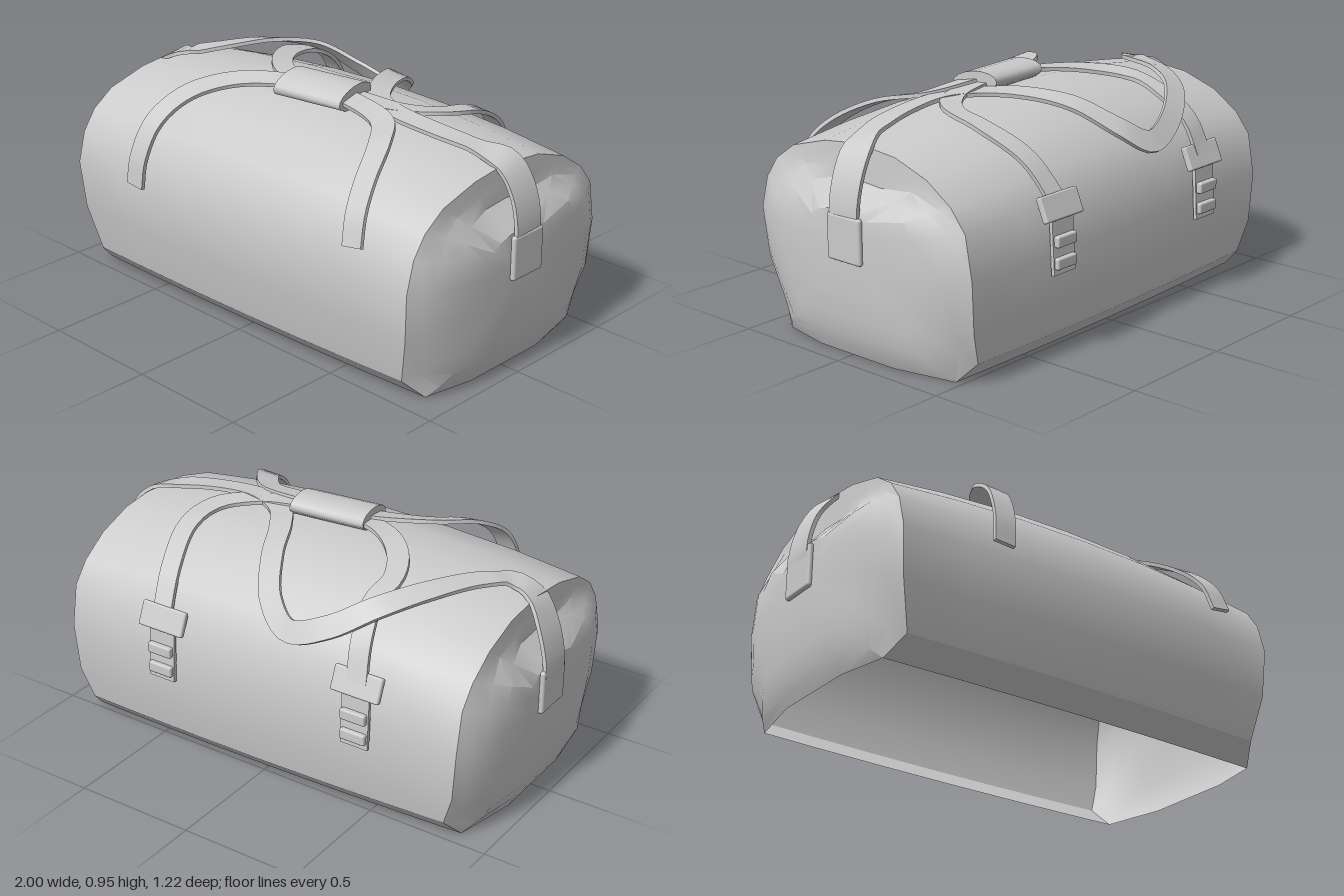
import * as THREE from 'three';
import { toCreasedNormals } from 'three/addons/utils/BufferGeometryUtils.js';
import { RoundedBoxGeometry } from 'three/addons/geometries/RoundedBoxGeometry.js';

const material = new THREE.MeshStandardMaterial({ color: 0xcccccc });
const openMaterial = new THREE.MeshStandardMaterial({ color: 0xcccccc, side: THREE.DoubleSide });

// Joins equal rings of points into a skin; keep(j, i) can leave quads open.
function loft(rings, crease, capEnds, keep = () => true) {
  const n = rings[0].length, pos = [], index = [];
  rings.forEach(r => r.forEach(p => pos.push(...p)));
  for (let j = 0; j < rings.length - 1; j++) {
    for (let i = 0; i < n; i++) {
      const a = j * n + i, b = j * n + (i + 1) % n;
      if (keep(j, i)) index.push(a, a + n, b, b, a + n, b + n);
    }
  }
  if (capEnds) {
    const e = (rings.length - 1) * n;
    for (let i = 1; i < n - 1; i++) index.push(0, i, i + 1, e, e + i + 1, e + i);
  }
  const g = new THREE.BufferGeometry();
  g.setAttribute('position', new THREE.Float32BufferAttribute(pos, 3));
  g.setIndex(index);
  return toCreasedNormals(g, crease);
}

function add(parent, name, geometry, mat = material) {
  const mesh = new THREE.Mesh(geometry, mat);
  mesh.name = name;
  parent.add(mesh);
  return mesh;
}

// Cross-section of the bag as [z, y], from the front bottom edge over the top to the back;
// the last two points lie on the bottom edge of the end panels
const section = [
  [0.42, 0.01], [0.5, 0.09], [0.54, 0.28], [0.555, 0.48], [0.52, 0.62], [0.46, 0.73],
  [0.36, 0.815], [0.18, 0.87], [0, 0.89], [-0.2, 0.87], [-0.36, 0.81], [-0.48, 0.71],
  [-0.55, 0.6], [-0.582, 0.42], [-0.575, 0.22], [-0.55, 0.09], [-0.47, 0.01],
  [-0.2, 0.01], [0.2, 0.01]
];

// Bag: long sagging shell, open underneath, with bulging end panels stepped in above y = 0.6
function bagGeometry() {
  const cy = 0.45;
  const place = (x, z, y) => {
    const t = Math.min(1, (x / 0.89) ** 2);
    const drop = 0.065 * t * THREE.MathUtils.smoothstep(y, 0.5, 0.89);
    return [x, y - drop, z * (1 - 0.04 * t) - 0.02 * x];
  };
  const edge = (z, y) => y < 0.05 ? 0.93 - 0.3 * z * z : y < 0.1 ? 0.83 : y < 0.3 ? 0.875 : 0.89;
  const endRing = (side, r) => section.map(([z, y]) => {
    const yy = cy + (y - cy) * r, e = edge(z, y);
    const lean = THREE.MathUtils.clamp((0.73 - yy) / 0.12, 0.08, 1);
    const x = e + (0.98 - e) * (1 - r ** 4) * lean;
    return place(side * x, z * r, yy);
  });
  const scales = [0, 0.36, 0.64, 0.8, 0.91, 1];
  const rings = scales.map(r => endRing(-1, r));
  for (const x of [-0.6, -0.3, 0, 0.3, 0.6]) rings.push(section.map(([z, y]) => place(x, z, y)));
  scales.reverse().forEach(r => rings.push(endRing(1, r)));
  const first = scales.length - 1, last = rings.length - scales.length;
  return loft(rings, 0.5, false, (j, i) => i < 16 || j < first || j >= last);
}

// Flat webbing along a smooth path, lying face-out from the bag
function strapGeometry(points, width, steps = 48, thick = 0.016) {
  const curve = new THREE.CatmullRomCurve3(points.map(p => new THREE.Vector3(...p)), false, 'centripetal');
  const rings = [];
  for (let k = 0; k <= steps; k++) {
    const p = curve.getPointAt(k / steps), t = curve.getTangentAt(k / steps);
    const out = new THREE.Vector3(Math.sign(p.x) * Math.max(0, Math.abs(p.x) - 0.75) * 6, p.y - 0.4, p.z);
    const side = new THREE.Vector3().crossVectors(t, out).normalize();
    const normal = new THREE.Vector3().crossVectors(side, t).normalize();
    const w = width(p) / 2;
    rings.push([[1, 1], [-1, 1], [-1, -1], [1, -1]].map(([a, b]) =>
      p.clone().addScaledVector(side, a * w).addScaledVector(normal, b * thick / 2).toArray()));
  }
  return loft(rings, 0.6, true);
}

export function createModel() {
  const bag = new THREE.Group();
  bag.name = 'duffelBag';
  add(bag, 'body', bagGeometry(), openMaterial);

  // Carry handles, both gathered in the grip
  add(bag, 'frontHandle', strapGeometry([
    [-0.48, 0.51, 0.595], [-0.47, 0.63, 0.58], [-0.45, 0.77, 0.51], [-0.41, 0.86, 0.37], [-0.31, 0.9, 0.21],
    [-0.12, 0.915, 0.1], [0.04, 0.92, 0.07], [0.2, 0.915, 0.08], [0.4, 0.895, 0.12], [0.51, 0.87, 0.25],
    [0.58, 0.79, 0.4], [0.62, 0.7, 0.49], [0.64, 0.59, 0.53]
  ], () => 0.09, 56));
  add(bag, 'backHandle', strapGeometry([
    [-0.48, 0.6, -0.57], [-0.46, 0.74, -0.51], [-0.43, 0.84, -0.39], [-0.43, 0.88, -0.25], [-0.35, 0.9, -0.1],
    [-0.2, 0.91, 0.02], [0.04, 0.915, 0.05], [0.2, 0.91, 0.03], [0.37, 0.9, -0.01], [0.49, 0.89, -0.12],
    [0.51, 0.86, -0.28], [0.46, 0.76, -0.46], [0.42, 0.6, -0.58]
  ], () => 0.085, 56));

  // Wrapped grip
  const gripGeometry = new THREE.CylinderGeometry(1, 1, 0.32, 16).rotateZ(Math.PI / 2).scale(1, 0.044, 0.105);
  const grip = add(bag, 'grip', toCreasedNormals(gripGeometry, 0.9));
  grip.position.set(0.035, 0.914, 0.065);
  grip.rotation.set(0.12, 0.13, 0);

  // Shoulder strap: end to end, drooping over the back
  add(bag, 'shoulderStrap', strapGeometry([
    [-0.98, 0.46, -0.01], [-0.99, 0.58, -0.01], [-0.95, 0.73, 0], [-0.88, 0.82, 0.03], [-0.79, 0.855, 0.03],
    [-0.7, 0.875, -0.07], [-0.59, 0.88, -0.27], [-0.47, 0.845, -0.43], [-0.32, 0.76, -0.52],
    [-0.16, 0.71, -0.55], [-0.04, 0.78, -0.49], [0.06, 0.87, -0.34], [0.15, 0.9, -0.16], [0.25, 0.9, -0.03],
    [0.4, 0.9, 0.03], [0.6, 0.885, 0.03], [0.78, 0.86, 0], [0.89, 0.825, -0.03],
    [0.955, 0.73, -0.04], [0.985, 0.6, -0.04], [0.975, 0.46, -0.04]
  ], p => 0.09 + 0.05 * THREE.MathUtils.smoothstep(Math.abs(p.x), 0.75, 0.93), 100));

  // End pads holding the shoulder strap
  for (const side of [-1, 1]) {
    const pad = add(bag, side > 0 ? 'leftEndPad' : 'rightEndPad', new RoundedBoxGeometry(0.024, 0.18, 0.17, 2, 0.011));
    pad.position.set(side * 0.985, 0.49, side > 0 ? -0.04 : -0.01);
  }

  // Back buckles with webbing and two ladder bars each
  for (const [x, z] of [[-0.48, 0], [0.415, -0.012]]) {
    const anchor = new THREE.Group();
    anchor.name = 'backBuckle';
    anchor.position.set(x, 0, z);
    bag.add(anchor);
    const buckle = add(anchor, 'buckle', new RoundedBoxGeometry(0.21, 0.1, 0.026, 2, 0.008));
    buckle.position.set(0, 0.595, -0.565);
    buckle.rotation.x = 0.4;
    const webbing = add(anchor, 'webbing', new THREE.BoxGeometry(0.12, 0.24, 0.014));
    webbing.position.set(0, 0.46, -0.577);
    webbing.rotation.x = 0.06;
    for (const y of [0.47, 0.385]) {
      add(anchor, 'ladderBar', new RoundedBoxGeometry(0.11, 0.045, 0.026, 2, 0.008)).position.set(0, y, -0.593);
    }
  }
  return bag;
}
